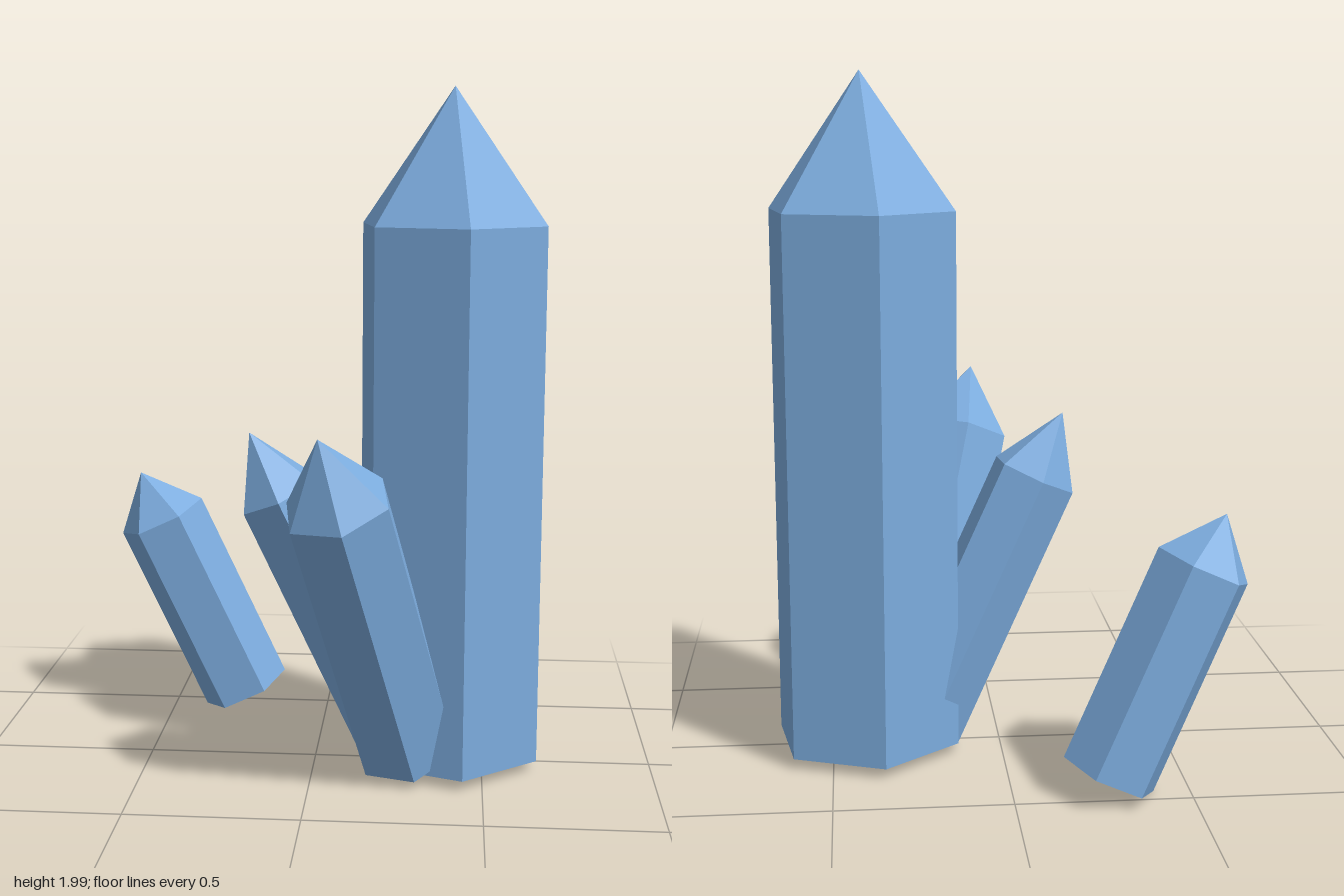
import * as THREE from 'three';

// One flat-faced hexagonal crystal: a capped shaft and a six-sided point.
// base and shoulder are the centres of the shaft's ends; corner points towards one edge.
function crystal({ name, base, shoulder, radius, tip, corner }, material) {
  const start = new THREE.Vector3(...base);
  const axis = new THREE.Vector3(...shoulder).sub(start);
  const length = axis.length();
  axis.normalize();

  const group = new THREE.Group();
  group.name = name;
  const add = (partName, geometry, y) => {
    const flat = geometry.toNonIndexed();
    flat.computeVertexNormals();
    flat.translate(0, y, 0);
    const mesh = new THREE.Mesh(flat, material);
    mesh.name = partName;
    group.add(mesh);
  };
  add('shaft', new THREE.CylinderGeometry(radius, radius, length, 6), length / 2);
  add('point', new THREE.CylinderGeometry(0, radius, tip, 6, 1, true), length + tip / 2);

  // Turn local y along the axis and local z (a hexagon corner) towards the given corner
  const side = new THREE.Vector3().crossVectors(axis, new THREE.Vector3(...corner)).normalize();
  const front = new THREE.Vector3().crossVectors(side, axis);
  group.quaternion.setFromRotationMatrix(new THREE.Matrix4().makeBasis(side, axis, front));
  group.position.copy(start);
  return group;
}

export function createModel() {
  const blue = new THREE.MeshStandardMaterial({ color: 0x7cacde });
  blue.name = 'crystal blue';

  const crystals = [
    { name: 'mainCrystal', base: [0.396, 0.037, -0.018], shoulder: [0.396, 1.61, -0.018],
      radius: 0.283, tip: 0.39, corner: [0.265, 0, 0.099] },
    { name: 'frontCrystal', base: [0.282, 0.082, 0.11], shoulder: [0.0925, 0.877, 0.43],
      radius: 0.157, tip: 0.215, corner: [0.1425, 0.008, 0.065] },
    { name: 'sideCrystal', base: [0.237, 0.075, -0.03], shoulder: [-0.1075, 0.82, 0.02],
      radius: 0.13, tip: 0.203, corner: [0.0125, -0.003, 0.13] },
    { name: 'backCrystal', base: [-0.268, 0.065, -0.452], shoulder: [-0.5325, 0.649, -0.408],
      radius: 0.141, tip: 0.158, corner: [0.1275, 0.06, -0.0075] },
  ];

  const model = new THREE.Group();
  model.name = 'crystalCluster';
  for (const spec of crystals) model.add(crystal(spec, blue));
  return model;
}
